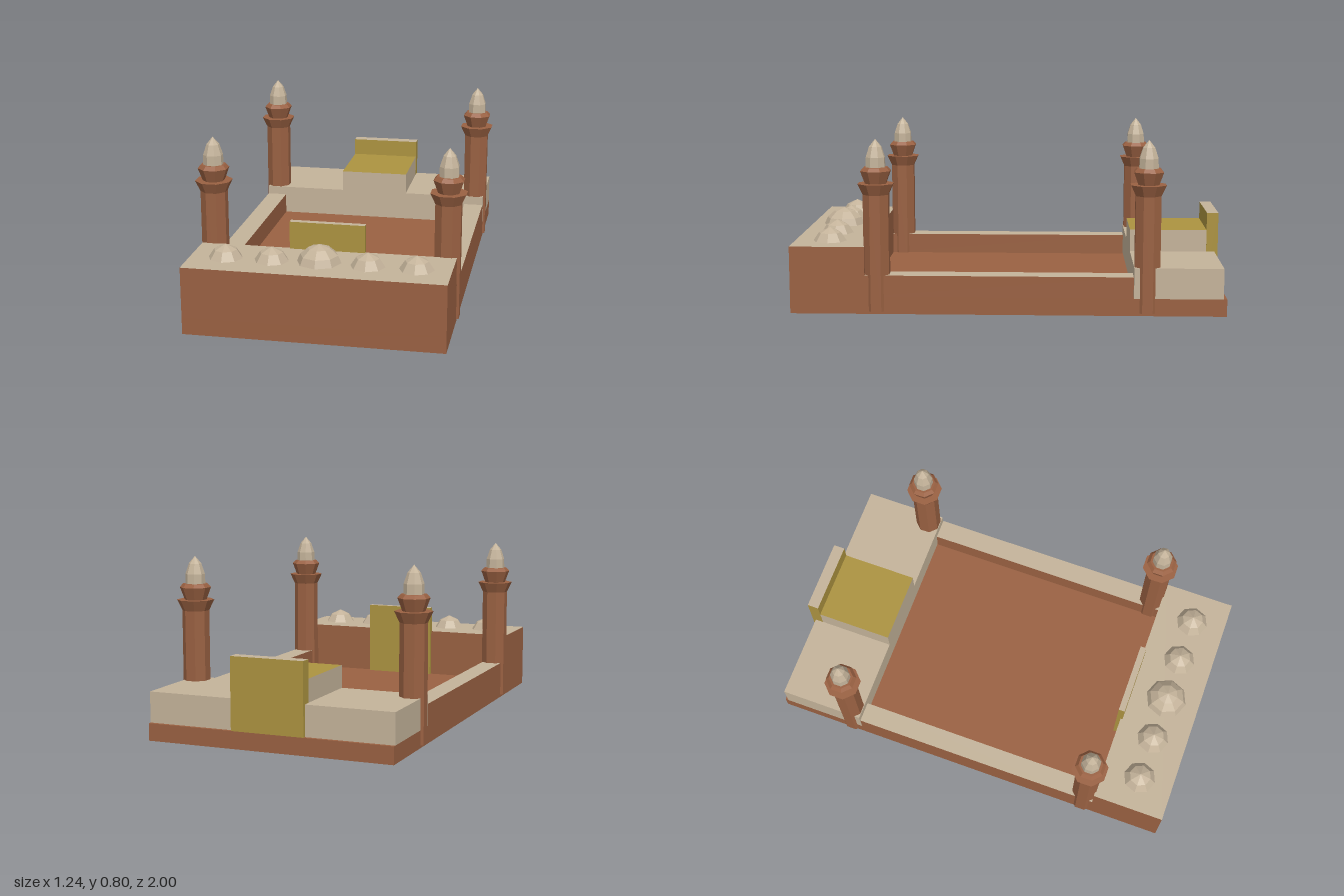
import * as THREE from 'three';

const brick = new THREE.MeshStandardMaterial({ color: 0x9a6142 });
brick.name = 'red brick';
const stone = new THREE.MeshStandardMaterial({ color: 0xc4b39a });
stone.name = 'pale stone';
const gold = new THREE.MeshStandardMaterial({ color: 0xac9340 });
gold.name = 'ochre';

const HALF_W = 0.587;
const FLOOR = 0.08;
const APOTHEM = Math.cos(Math.PI / 8);

// Box given by its limits, with an optional different material on top
function block(name, [x0, x1], [y0, y1], [z0, z1], side, top = side) {
  const geo = new THREE.BoxGeometry(x1 - x0, y1 - y0, z1 - z0);
  geo.translate((x0 + x1) / 2, (y0 + y1) / 2, (z0 + z1) / 2);
  const mesh = new THREE.Mesh(geo, [side, side, top, side, side, side]);
  mesh.name = name;
  return mesh;
}

// Faceted eight-sided turned form from [radius, height] pairs, bottom to top
function octagonal(name, profile, material, start, scale = 1) {
  const points = profile.map(([r, y]) => new THREE.Vector2(r * scale, y));
  const geo = new THREE.LatheGeometry(points, 8, start).toNonIndexed();
  geo.computeVertexNormals();
  const mesh = new THREE.Mesh(geo, material);
  mesh.name = name;
  return mesh;
}

function minaret(x, z) {
  const group = new THREE.Group();
  group.name = 'minaret';
  const tower = [
    [0, 0.012], [0.058, 0.012], [0.058, 0.55], [0.08, 0.6], [0.047, 0.6],
    [0.067, 0.658], [0.053, 0.675], [0, 0.675],
  ];
  const cap = [[0, 0.674], [0.043, 0.674], [0.042, 0.72], [0.027, 0.768], [0, 0.803]];
  group.add(
    octagonal('minaretTower', tower, brick, Math.PI / 8, 1 / APOTHEM),
    octagonal('minaretCap', cap, stone, Math.PI / 8, 1 / APOTHEM),
  );
  group.position.set(x, 0, z);
  return group;
}

export function createModel() {
  const model = new THREE.Group();
  model.name = 'courtyardMosque';

  // Hollow plinth: a thin rim around a raised floor
  const t = 0.004;
  for (const s of [-1, 1]) {
    const xs = s > 0 ? [HALF_W - t, HALF_W] : [-HALF_W, -HALF_W + t];
    const zs = s > 0 ? [1 - t, 1] : [-1, -1 + t];
    model.add(block('plinthSide', xs, [0, FLOOR], [-1, 1], brick));
    model.add(block('plinthEnd', [-HALF_W + t, HALF_W - t], [0, FLOOR], zs, brick));
  }
  model.add(block('courtyardFloor', [-HALF_W + t, HALF_W - t], [0.07, FLOOR], [-1 + t, 1 - t], brick));

  // Side walls of the courtyard
  for (const xs of [[0.49, HALF_W], [-HALF_W, -0.49]]) {
    model.add(block('courtyardWall', xs, [FLOOR, 0.18], [-0.575, 0.655], brick, stone));
  }

  // Prayer hall with its courtyard portal
  model.add(block('prayerHall', [-HALF_W, HALF_W], [FLOOR, 0.312], [0.655, 1], brick, stone));
  model.add(block('hallPortal', [-0.173, 0.173], [FLOOR, 0.44], [0.635, 0.665], gold, stone));

  // Entrance range: low wings, raised gatehouse and gate screen
  for (const xs of [[0.173, HALF_W], [-HALF_W, -0.173]]) {
    model.add(block('entranceWing', xs, [FLOOR, 0.222], [-0.984, -0.577], stone));
  }
  model.add(block('gatehouse', [-0.173, 0.173], [FLOOR, 0.327], [-0.998, -0.577], stone, gold));
  model.add(block('gateScreen', [-0.174, 0.174], [FLOOR, 0.412], [-1, -0.945], gold, stone));

  // Roof domes
  const small = [[0, 0.314], [0.078, 0.314], [0.052, 0.353], [0, 0.378]];
  const large = [[0, 0.32], [0.1, 0.32], [0.085, 0.354], [0.05, 0.385], [0, 0.402]];
  for (const x of [-0.425, -0.215, 0, 0.217, 0.433]) {
    const dome = octagonal(x ? 'smallDome' : 'centralDome', x ? small : large, stone, 0);
    dome.position.set(x, 0, 0.835);
    model.add(dome);
  }

  // Corner minarets
  for (const x of [-0.54, 0.54]) {
    for (const z of [-0.638, 0.602]) model.add(minaret(x, z));
  }
  return model;
}
